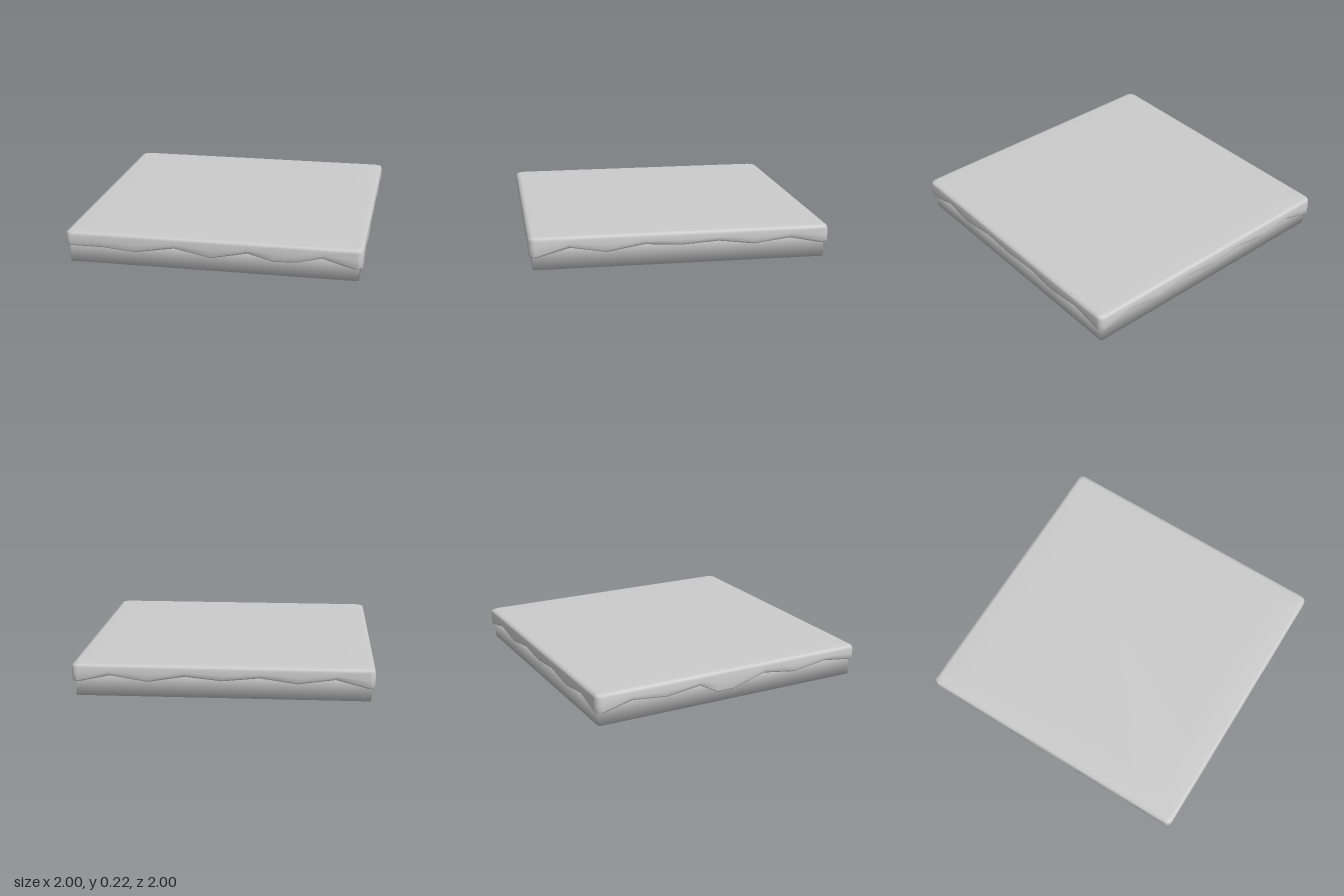
import * as THREE from 'three';

const CORNER = 0.04;

// Drip heights along each side, as [distance along side, lower edge height].
const DRIPS = [
  [[-0.96, 0.12], [-0.75, 0.12], [-0.52, 0.1], [-0.25, 0.145], [0, 0.095], [0.25, 0.145],
    [0.42, 0.1], [0.57, 0.105], [0.74, 0.145], [0.96, 0.085]],
  [[-0.96, 0.085], [-0.74, 0.145], [-0.5, 0.105], [-0.25, 0.145], [0, 0.13], [0.25, 0.145],
    [0.49, 0.115], [0.74, 0.145], [0.96, 0.1]],
  [[-0.96, 0.1], [-0.75, 0.145], [-0.5, 0.105], [-0.25, 0.145], [0, 0.12], [0.25, 0.145],
    [0.5, 0.11], [0.75, 0.145], [0.96, 0.09]],
  [[-0.96, 0.09], [-0.75, 0.14], [-0.5, 0.115], [-0.25, 0.145], [-0.12, 0.075], [0, 0.075],
    [0.25, 0.145], [0.5, 0.11], [0.75, 0.145], [0.96, 0.12]],
];

// Rounded square outline: front, +x side, back, -x side.
function outline(sides, corner) {
  const points = [];
  sides.forEach((side, k) => {
    const c = Math.cos(k * Math.PI / 2), s = Math.sin(k * Math.PI / 2);
    const add = (t, out, low) => points.push({ x: t * c + out * s, z: out * c - t * s, low });
    side.forEach(([t, low]) => add(t, 1, low));
    const end = side[side.length - 1][1], next = sides[(k + 1) % 4][0][1];
    for (const f of [1 / 3, 2 / 3]) {
      const a = f * Math.PI / 2;
      add(1 - corner + corner * Math.sin(a), 1 - corner + corner * Math.cos(a), end + (next - end) * f);
    }
  });
  return points;
}

// Skin through scaled copies of an outline; each ring is [scale, height rule].
function loft(points, rings) {
  const n = points.length, positions = [], index = [];
  for (const [scale, height] of rings) {
    for (const p of points) positions.push(p.x * scale, height(p.low), p.z * scale);
  }
  for (let j = 0; j < rings.length - 1; j++) {
    for (let i = 0; i < n; i++) {
      const a = j * n + i, b = j * n + (i + 1) % n;
      if (rings[j][0] > 0) index.push(a, b, b + n);
      else index.push(a, b + n, a + n);
      if (rings[j][0] > 0 && rings[j + 1][0] > 0) index.push(a, b + n, a + n);
    }
  }
  const geometry = new THREE.BufferGeometry();
  geometry.setAttribute('position', new THREE.Float32BufferAttribute(positions, 3));
  geometry.setIndex(index);
  geometry.computeVertexNormals();
  return geometry;
}

export function createModel() {
  const group = new THREE.Group();
  group.name = 'groundTile';
  const material = new THREE.MeshStandardMaterial({ color: 0xcccccc });
  const add = (name, geometry) => {
    const mesh = new THREE.Mesh(geometry, material);
    mesh.name = name;
    group.add(mesh);
  };

  // Plain lower slab with softly shaded edges
  const square = outline(Array(4).fill([[-0.985, 0], [0.985, 0]]), 0.015);
  add('slabBase', loft(square, [[0, () => 0], [0.975, () => 0], [0.975, () => 0.17], [0, () => 0.17]]));

  // Overhanging top layer with a wavy lower lip and rounded rim
  add('topLayer', loft(outline(DRIPS, CORNER), [
    [0.965, low => low + 0.004],
    [0.99, low => low],
    [1, low => low + 0.012],
    [1, low => (low + 0.195) / 2],
    [1, () => 0.195],
    [0.993, () => 0.212],
    [0.97, () => 0.22],
    [0.8, () => 0.22],
    [0, () => 0.22],
  ]));
  return group;
}
